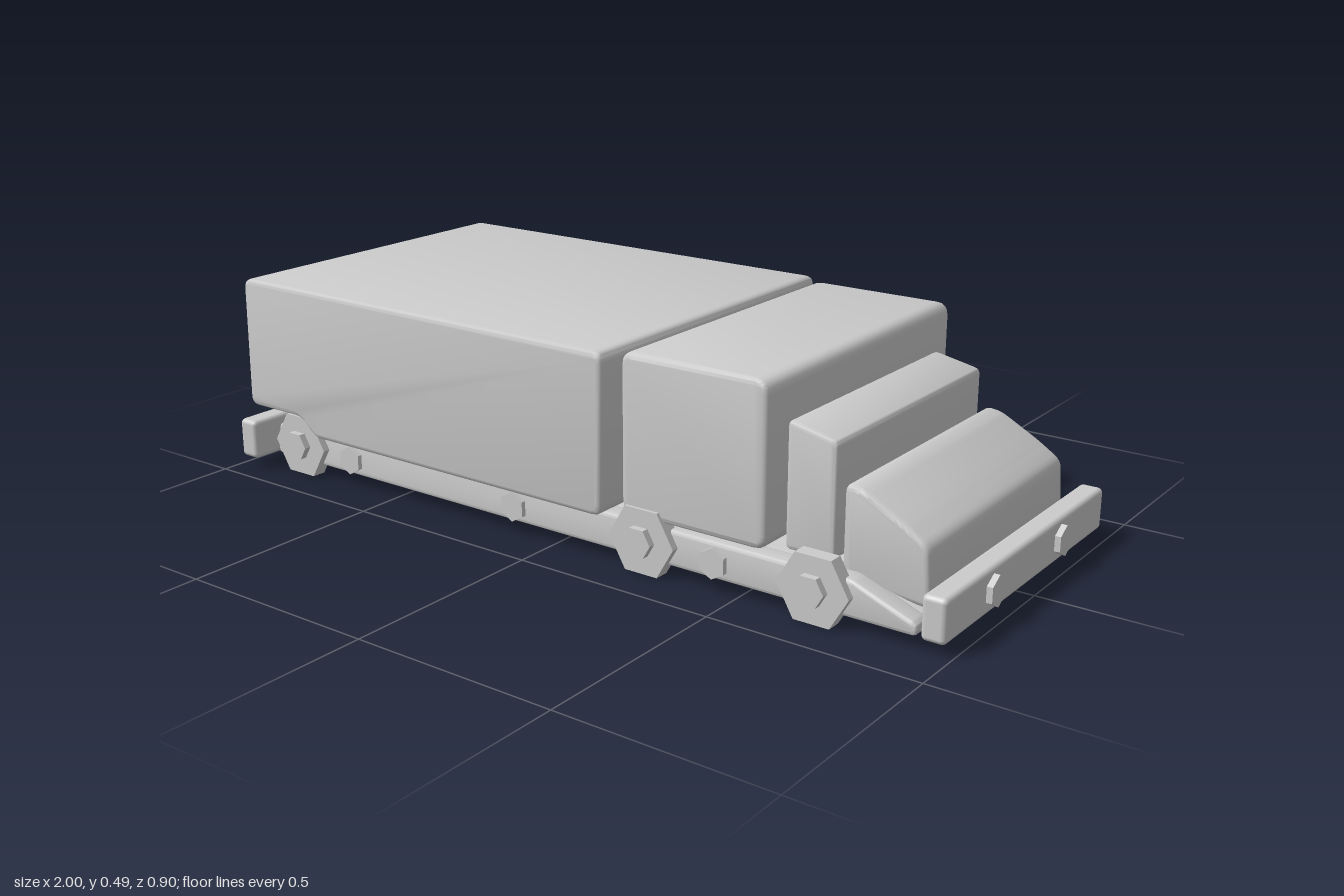
import * as THREE from 'three';
import { toCreasedNormals } from 'three/addons/utils/BufferGeometryUtils.js';
import { RoundedBoxGeometry } from 'three/addons/geometries/RoundedBoxGeometry.js';

const grey = new THREE.MeshStandardMaterial({ color: 0xcccccc });

export function createModel() {
  const truck = new THREE.Group();
  truck.name = 'truck';

  const add = (name, geometry, x = 0, y = 0, z = 0) => {
    const mesh = new THREE.Mesh(geometry, grey);
    mesh.name = name;
    mesh.position.set(x, y, z);
    truck.add(mesh);
    return mesh;
  };

  // Side profile (x, y) with rounded corners, extruded across z with soft edges
  const body = (name, points, halfWidth, bevel = 0.015, z = 0, radius = 0.014) => {
    const pts = points.map(([x, y]) => new THREE.Vector2(x, y));
    const shape = new THREE.Shape();
    pts.forEach((p, i) => {
      const prev = pts[(i + pts.length - 1) % pts.length];
      const next = pts[(i + 1) % pts.length];
      const toward = (q) => p.clone().lerp(q, Math.min(0.4, radius / p.distanceTo(q)));
      const a = toward(prev), b = toward(next);
      if (i === 0) shape.moveTo(a.x, a.y);
      else shape.lineTo(a.x, a.y);
      shape.quadraticCurveTo(p.x, p.y, b.x, b.y);
    });
    shape.closePath();
    const geometry = new THREE.ExtrudeGeometry(shape, {
      depth: 2 * (halfWidth - bevel), curveSegments: 4,
      bevelSize: bevel, bevelThickness: bevel, bevelOffset: -bevel, bevelSegments: 3,
    });
    geometry.translate(0, 0, bevel - halfWidth);
    return add(name, toCreasedNormals(geometry, 0.6), 0, 0, z);
  };

  // Cargo box with a raised rear underside
  body('cargoBox', [[-0.96, 0.165], [-0.775, 0.165], [-0.735, 0.12], [0.17, 0.12],
    [0.177, 0.495], [-0.955, 0.495]], 0.435, 0.012, 0, 0.025);

  // Sleeper, cab and sloping hood
  body('sleeper', [[0.198, 0.125], [0.572, 0.125], [0.572, 0.495], [0.198, 0.495]], 0.395, 0.014, 0, 0.032);
  body('cab', [[0.575, 0.11], [0.695, 0.11], [0.695, 0.372], [0.575, 0.396]], 0.323, 0.01);
  body('hood', [[0.713, 0.08], [0.918, 0.06], [0.908, 0.195], [0.85, 0.232],
    [0.755, 0.283], [0.713, 0.287]], 0.322, 0.012, 0, 0.02);

  // Chassis floor and side rails, tapering at the front
  const chassis = (top) => [[-0.925, 0.028], [0.922, 0.028], [0.922, 0.055],
    [0.77, top], [-0.915, top]];
  body('chassisFloor', chassis(0.095), 0.345, 0.008);
  for (const s of [1, -1]) {
    body(s > 0 ? 'frontRail' : 'backRail', chassis(0.112), 0.026, 0.008, s * 0.359);
  }

  // Bumpers
  add('rearBumper', new RoundedBoxGeometry(0.056, 0.1, 0.9, 3, 0.012), -0.962, 0.075, 0);
  add('frontBumper', new RoundedBoxGeometry(0.056, 0.1, 0.774, 3, 0.012), 0.958, 0.075, 0);

  // Hexagonal wheels, hubs and bolts
  const hex = (radius, depth, flatTop) => {
    const g = new THREE.CylinderGeometry(radius, radius, depth, 6).toNonIndexed();
    if (flatTop) g.rotateY(Math.PI / 6);
    g.rotateX(Math.PI / 2);
    g.computeVertexNormals();
    return g;
  };
  for (const s of [1, -1]) {
    for (const x of [-0.82, 0.258, 0.692]) {
      add('wheel', hex(0.0866, 0.036, true), x, 0.075, s * 0.385);
      add('wheelHub', hex(0.037, 0.04, true), x, 0.077, s * 0.4);
    }
    for (const x of [-0.65, -0.118, 0.44]) {
      add('railBolt', hex(0.036, 0.03, false), x, 0.067, s * 0.382);
    }
    for (const z of [0.18, -0.153]) {
      add('bumperBolt', hex(0.036, 0.03, false).rotateY(Math.PI / 2), s * 0.985, 0.075, z);
    }
  }

  return truck;
}
